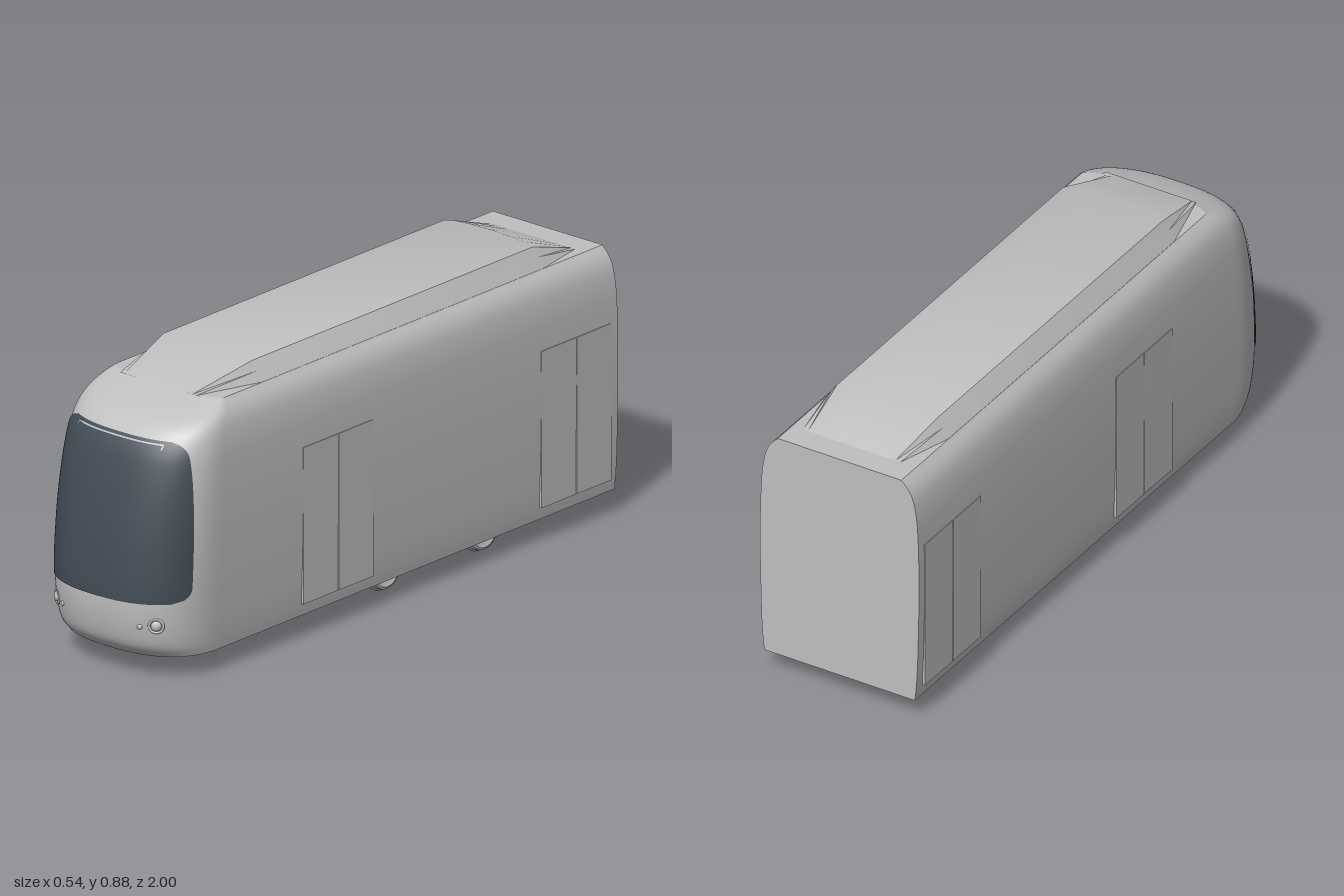
import * as THREE from 'three';
import { toCreasedNormals } from 'three/addons/utils/BufferGeometryUtils.js';

const V = (x, y, z) => new THREE.Vector3(x, y, z);

// Hull profile: half width, height, front reach
const PROFILE = new THREE.CatmullRomCurve3([
  V(0.257, 0.07, 0.94), V(0.261, 0.105, 0.973), V(0.265, 0.16, 0.991), V(0.268, 0.25, 1),
  V(0.271, 0.4, 0.986), V(0.271, 0.52, 0.965), V(0.268, 0.63, 0.937), V(0.264, 0.69, 0.914),
  V(0.257, 0.735, 0.882), V(0.248, 0.766, 0.838), V(0.233, 0.792, 0.775), V(0.211, 0.815, 0.705),
]).getPoints(55);

// Hull width, corner start and corner depth at a height
function hullAt(y) {
  let i = 1;
  while (i < PROFILE.length - 1 && PROFILE[i].y < y) i++;
  const a = PROFILE[i - 1], b = PROFILE[i];
  const p = a.clone().lerp(b, THREE.MathUtils.clamp((y - a.y) / (b.y - a.y), 0, 1));
  const start = 0.66 + 0.3 * (p.z - 0.7);
  return { w: p.x, start, depth: p.z - start };
}

// Point on the rounded nose; t runs from -PI/2 (right) to PI/2 (left)
function nosePoint(y, t, offset = 0) {
  const { w, start, depth } = hullAt(y);
  const s = Math.sin(t), c = Math.max(0, Math.cos(t));
  return V((w + offset) * Math.sign(s) * Math.abs(s) ** 0.8, y, start + (depth + offset) * c ** 0.8);
}
const angleForX = (y, x) => Math.sign(x) * Math.asin(Math.min(1, (Math.abs(x) / hullAt(y).w) ** 1.25));

// Skin a surface through equal-length rows of points
function loft(rows) {
  const n = rows[0].length, index = [];
  for (let r = 0; r < rows.length - 1; r++) {
    for (let c = 0; c < n - 1; c++) {
      const a = r * n + c, d = a + n;
      index.push(a, a + 1, d + 1, a, d + 1, d);
    }
  }
  const g = new THREE.BufferGeometry().setFromPoints(rows.flat());
  g.setIndex(index);
  g.computeVertexNormals();
  return g;
}

const range = (n, f) => Array.from({ length: n + 1 }, (_, i) => f(i / n));

// Thin patch lying on the nose between two heights and two angles
function nosePatch(y0, y1, rows, cols, limits, offset) {
  return loft(range(rows, (v) => {
    const y = y0 + (y1 - y0) * v, [t0, t1] = limits(y);
    return range(cols, (u) => nosePoint(y, t0 + (t1 - t0) * u, offset));
  }));
}

export function createModel() {
  const model = new THREE.Group();
  const paint = new THREE.MeshStandardMaterial({ color: 0xbfbfbf });
  paint.name = 'light grey paint';
  const glass = new THREE.MeshStandardMaterial({ color: 0x424b55 });
  glass.name = 'dark tinted glass';

  const add = (name, geometry, material = paint, parent = model) => {
    const mesh = new THREE.Mesh(geometry, material);
    mesh.name = name;
    parent.add(mesh);
    return mesh;
  };

  // Hull: sides and nose in one skin, then flat floor, roof and rear
  const outlines = PROFILE.map(({ y }) => {
    const { w } = hullAt(y);
    return [V(-w, y, -1), ...range(48, (u) => nosePoint(y, (u - 0.5) * Math.PI)), V(w, y, -1)];
  });
  add('bodyShell', loft(outlines));
  const across = (o) => o.slice(0, Math.ceil(o.length / 2)).map((p, i) => [p, o[o.length - 1 - i]]);
  add('floor', loft(across(outlines[0])));
  add('roof', loft(across(outlines[outlines.length - 1]).map(([a, b]) => [b, a])));
  add('rearWall', loft(outlines.map((o) => [o[o.length - 1], o[0]])));

  // Windscreen with rounded corners
  const bottom = 0.248, top = 0.724, radius = 0.04;
  add('windscreen', nosePatch(bottom, top, 60, 48, (y) => {
    const { start, depth } = hullAt(y);
    const edgeZ = 0.862 - 0.02 * (y - bottom) / (top - bottom);
    const side = Math.acos(THREE.MathUtils.clamp((edgeZ - start) / depth, 0, 1) ** 1.25);
    const u = Math.max(0, radius - Math.min(y - bottom, top - y)) / radius;
    const t = side * (1 - 0.22 * (1 - Math.sqrt(Math.max(0, 1 - u * u))));
    return [-t, t];
  }, 0.003), glass);

  // Bracket-shaped trim at the top of the windscreen
  const trim = (name, x0, x1, y0, y1) => add(name,
    nosePatch(y0, y1, 2, 20, (y) => [angleForX(y, x0), angleForX(y, x1)], 0.006));
  trim('signTrim', -0.16, 0.16, 0.713, 0.717);
  trim('signTrimRightEnd', -0.16, -0.156, 0.702, 0.713);
  trim('signTrimLeftEnd', 0.156, 0.16, 0.702, 0.713);

  // Roof fairing with sloping ends
  const half = [[0.21, 0], [0.19, 0.03], [0.17, 0.057], [0.135, 0.064], [0.08, 0.068]];
  const section = [...half, [0, 0.07], ...half.map(([x, y]) => [-x, y]).reverse()];
  const stations = [[-0.92, 0.83, 0], [-0.74, 1, 1], [0.5, 1, 1], [0.71, 0.73, 0]];
  const fairing = loft(stations.map(([z, sx, sy]) => section.map(([x, y]) => V(x * sx, 0.815 + y * sy, z))));
  add('roofFairing', toCreasedNormals(fairing, 0.4));

  for (const side of [-1, 1]) {
    const sideName = side > 0 ? 'left' : 'right';

    // Double doors, each a pair of thin leaves
    for (const [place, z] of [['Front', 0.235], ['Rear', -0.815]]) {
      for (const leaf of [-1, 1]) {
        add(`${sideName}${place}DoorLeaf`, new THREE.BoxGeometry(0.008, 0.485, 0.152))
          .position.set(side * 0.268, 0.3525, z + leaf * 0.078);
      }
    }

    // Headlamps: rim, domed lens and a small marker lamp
    const lamp = (name, x, y, turn) => {
      const g = new THREE.Group();
      g.name = name;
      g.position.copy(nosePoint(y, angleForX(y, side * x)));
      g.rotation.y = side * turn;
      model.add(g);
      return g;
    };
    const head = lamp(`${sideName}Headlamp`, 0.19, 0.18, 0.6);
    add('headlampRim', new THREE.TorusGeometry(0.021, 0.004, 8, 28), paint, head);
    add('headlampLens', new THREE.SphereGeometry(0.016, 20, 12), paint, head).scale.z = 0.6;
    const marker = lamp(`${sideName}MarkerLamp`, 0.148, 0.175, 0.45);
    add('markerLens', new THREE.SphereGeometry(0.008, 16, 10), paint, marker).scale.z = 0.7;
  }

  // Flanged rail wheels joined by axles
  const wheelProfile = [[0, -0.015], [0.066, -0.015], [0.07, -0.012], [0.07, -0.008],
    [0.064, -0.004], [0.061, 0.013], [0.054, 0.015], [0.045, 0.01], [0, 0.01]];
  const wheel = toCreasedNormals(new THREE.LatheGeometry(
    wheelProfile.map(([r, h]) => new THREE.Vector2(r, h)), 40), 0.6);
  for (const z of [-0.07, -0.5]) {
    for (const side of [-1, 1]) {
      const w = add(side > 0 ? 'leftWheel' : 'rightWheel', wheel);
      w.position.set(side * 0.18, 0.07, z);
      w.rotation.z = -side * Math.PI / 2;
    }
    const axle = add('axle', new THREE.CylinderGeometry(0.007, 0.007, 0.34, 12));
    axle.position.set(0, 0.07, z);
    axle.rotation.z = Math.PI / 2;
  }

  return model;
}
